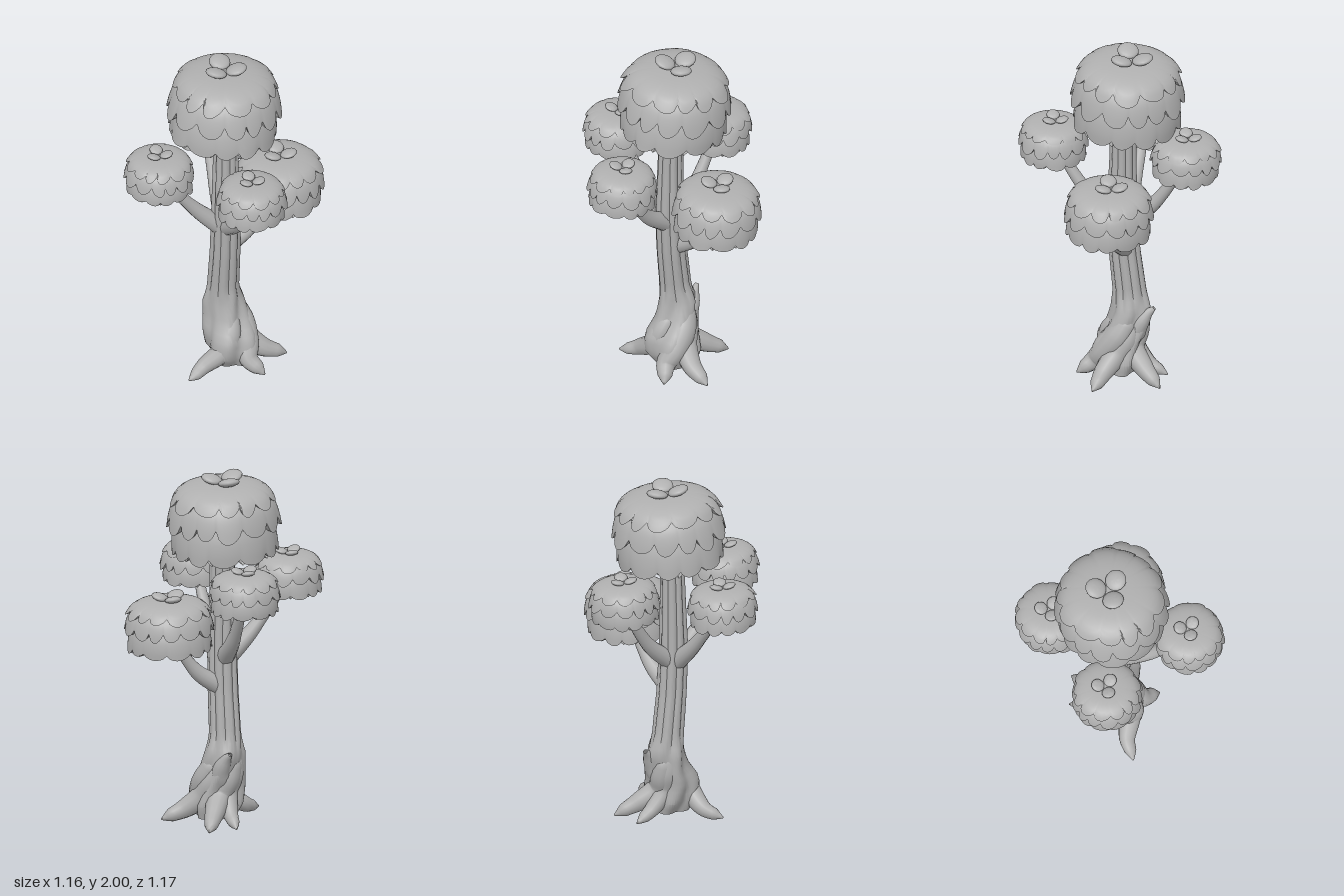
import * as THREE from 'three';
import { toCreasedNormals } from 'three/addons/utils/BufferGeometryUtils.js';
import { ParametricGeometry } from 'three/addons/geometries/ParametricGeometry.js';

const grey = new THREE.MeshStandardMaterial({ color: 0xb0b0b0, side: THREE.DoubleSide });
grey.name = 'stone grey';

let seed = 7;
const rand = () => (seed = (seed * 16807) % 2147483647) / 2147483647;

function part(name, geometry, crease = 0.7) {
  const mesh = new THREE.Mesh(toCreasedNormals(geometry, crease), grey);
  mesh.name = name;
  return mesh;
}

// surface from a rule fn(u, v) -> [x, y, z]
const surface = (fn, nu, nv) =>
  new ParametricGeometry((u, v, target) => target.set(...fn(u, v)), nu, nv);

// linear interpolation through rows whose first entry is the key
function sample(rows, key) {
  let i = 1;
  while (i < rows.length - 1 && rows[i][0] < key) i++;
  const a = rows[i - 1], b = rows[i];
  const k = THREE.MathUtils.clamp((key - a[0]) / (b[0] - a[0]), 0, 1);
  return a.map((n, j) => n + (b[j] - n) * k);
}

// tube along points whose radius follows the list of radii
function taperedTube(points, radii, segments = 28, sides = 12) {
  const curve = new THREE.CatmullRomCurve3(points.map(p => new THREE.Vector3(...p)));
  const geo = new THREE.TubeGeometry(curve, segments, 1, sides, false);
  const pos = geo.attributes.position;
  const rows = radii.map((r, i) => [i / (radii.length - 1), r]);
  const p = new THREE.Vector3();
  for (let i = 0; i < pos.count; i++) {
    const t = Math.floor(i / (sides + 1)) / segments;
    const c = curve.getPointAt(t);
    p.fromBufferAttribute(pos, i).sub(c).multiplyScalar(sample(rows, t)[1]).add(c);
    pos.setXYZ(i, p.x, Math.max(0, p.y), p.z);
  }
  return geo;
}

// one skirt of rounded leaves: profile of [radius, depth], scalloped hem with a turned-in lip
function leafSkirt(profile, lobes, notch, R, H) {
  const curve = new THREE.CatmullRomCurve3(profile.map(([r, t]) => new THREE.Vector3(r, t, 0)));
  const leaves = Array.from({ length: lobes }, () => ({ long: rand(), flare: rand(), skew: 0.8 + 0.6 * rand() }));
  const phase = rand() * Math.PI * 2;
  const stacks = 10;
  return surface((u, v) => {
    const { long, flare, skew } = leaves[Math.floor(u * lobes + 1e-6) % lobes];
    const s = (u * lobes + 1e-6) % 1;
    const bump = Math.pow(Math.abs(Math.sin(Math.PI * Math.pow(s, skew))), 0.6);
    const row = Math.round(v * stacks);
    const along = Math.min(1, row / (stacks - 1));
    const p = curve.getPoint(along * (1 - notch * (1 - bump * (0.65 + 0.35 * long))));
    let r = p.x + 0.05 * flare * bump * along ** 3, t = p.y;
    if (row === stacks) { r -= 0.1; t -= 0.02; }
    const a = u * Math.PI * 2 + 0.08 * Math.sin(u * Math.PI * 6) + phase;
    return [R * r * Math.cos(a), -H * t, R * r * Math.sin(a)];
  }, lobes * 8, stacks);
}

// domed canopy with its top at the origin; gather is the depth of the underside's middle
function canopy(name, [x, y, z], R, H, gather, tiltX, tiltZ) {
  const group = new THREE.Group();
  group.name = name;
  const skirts = [
    ['lowerLeaves', [[0.84, 0.5], [0.9, 0.64], [0.93, 0.82], [0.92, 1]], 12, 0.22],
    ['middleLeaves', [[0.76, 0.14], [0.9, 0.28], [0.97, 0.45], [1, 0.66]], 14, 0.34],
    ['upperLeaves', [[0, 0], [0.35, 0.012], [0.64, 0.05], [0.84, 0.14], [0.95, 0.31]], 13, 0.21],
  ];
  for (const [n, profile, lobes, notch] of skirts) {
    group.add(part(n, leafSkirt(profile, lobes, notch, R, H)));
  }
  // pleated underside gathered at the branch
  const pleats = 20;
  group.add(part('pleatedUnderside', surface((u, v) => {
    const a = u * Math.PI * 2, fold = Math.abs(((u * pleats) % 1) * 2 - 1);
    const r = R * 0.89 * v;
    return [r * Math.sin(a), -H * (gather + (0.93 - gather) * v + 0.1 * (fold - 0.5) * v), r * Math.cos(a)];
  }, pleats * 4, 5), 0.4));
  // three round caps on the crown, lifted at their outer rims
  for (let i = 0; i < 3; i++) {
    const cap = part('crownCap', new THREE.SphereGeometry(R * 0.19, 16, 10), 1);
    cap.scale.y = 0.4;
    cap.rotation.z = 0.28;
    cap.position.set(R * 0.22, R * 0.055, 0);
    const arm = new THREE.Group();
    arm.name = 'crownCapArm';
    arm.rotation.y = Math.PI / 2 + i * Math.PI * 2 / 3;
    arm.position.set(-0.02 * R, 0, -0.02 * R);
    arm.add(cap);
    group.add(arm);
  }
  group.position.set(x, y, z);
  group.rotation.set(tiltX, 0, tiltZ);
  return group;
}

export function createModel() {
  const tree = new THREE.Group();
  tree.name = 'tree';

  // fluted trunk on a twisted, swollen foot: y, centre x, centre z, radius, twist weight
  const trunkRows = [
    [0.03, 0.04, 0, 0.11, 1], [0.1, 0.03, 0.01, 0.14, 1], [0.2, 0.02, 0.01, 0.136, 1],
    [0.3, 0.018, -0.04, 0.115, 1], [0.4, 0.008, -0.06, 0.106, 0.8], [0.5, 0, -0.05, 0.087, 0.1],
    [0.75, 0, -0.02, 0.082, 0], [1, 0, -0.005, 0.08, 0], [1.3, 0, -0.01, 0.07, 0],
    [1.65, 0.005, -0.015, 0.064, 0],
  ];
  tree.add(part('trunk', surface((u, v) => {
    const y = 0.03 + 1.62 * v, [, cx, cz, r, w] = sample(trunkRows, y), a = u * Math.PI * 2;
    const flutes = 0.07 * (1 - w) * (Math.abs(Math.sin(4.5 * a)) * 2 - 1.2)
      + 0.04 * (1 - w) * Math.sin(2 * a + 1);
    const folds = 0.11 * w * Math.sin(4 * a - y * 11) + 0.04 * w * Math.sin(7 * a - y * 14);
    const rr = r * (1 + flutes + folds);
    return [cx + rr * Math.sin(a), y, cz + rr * Math.cos(a)];
  }, 72, 44), 0.6));

  // roots spiral down from the trunk and spread over the ground: tip x, tip z, start height, girth, arch
  const roots = [
    [-0.25, 0.11, 0.34, 0.055, 0.055], [0.14, 0.2, 0.38, 0.066, 0.08], [0.32, 0.06, 0.36, 0.062, 0.075],
    [0.18, -0.27, 0.4, 0.062, 0.085], [0.02, -0.26, 0.42, 0.052, 0.07],
  ];
  for (const [x, z, top, g, arch] of roots) {
    const a = Math.atan2(z, x), len = Math.hypot(x, z);
    const at = (da, r, y) => {
      const [, cx, cz] = sample(trunkRows, y);
      return [cx + r * Math.cos(a + da), y, cz + r * Math.sin(a + da)];
    };
    tree.add(part('root', taperedTube(
      [at(-1.35, 0.05, top), at(-0.9, 0.075, top * 0.68), at(-0.4, 0.09, top * 0.42),
        [x * 0.62, arch, z * 0.62], [x * 0.88, arch * 0.5, z * 0.88],
        [x + 0.015 * x / len, 0.015, z + 0.015 * z / len]],
      [g * 0.4, g * 0.9, g, g * 1.1, g * 1.1, g * 1.05, g, g * 0.9, g * 0.75, g * 0.6, 0.004]), 1));
  }
  // knot at the back of the twisted foot
  tree.add(part('knot', taperedTube(
    [[0.03, 0.2, -0.06], [0.05, 0.32, -0.12], [0.04, 0.39, -0.165], [0.03, 0.425, -0.2]],
    [0.06, 0.06, 0.042, 0.012], 12), 1));

  // branches
  const branches = [
    ['rightBranch', [-0.03, 0.93, -0.01], [-0.17, 1.07, -0.02], [-0.38, 1.34, -0.02]],
    ['leftBranch', [0.03, 0.78, -0.03], [0.16, 0.87, -0.03], [0.32, 1.1, -0.03]],
    ['frontBranch', [0, 0.94, 0.02], [0, 1.07, 0.19], [0, 1.34, 0.38]],
    ['backBranch', [0, 0.93, -0.03], [0.01, 1.07, -0.19], [0.02, 1.36, -0.38]],
  ];
  for (const [name, ...points] of branches) {
    tree.add(part(name, taperedTube(points, [0.055, 0.046, 0.035, 0.03, 0.026], 16)));
  }

  // canopies
  tree.add(
    canopy('mainCanopy', [0.015, 1.95, -0.05], 0.314, 0.41, 0.86, -0.045, -0.045),
    canopy('frontCanopy', [0.005, 1.495, 0.39], 0.193, 0.222, 0.98, -0.03, -0.03),
    canopy('backCanopy', [0.02, 1.515, -0.385], 0.196, 0.225, 0.98, -0.04, -0.03),
    canopy('rightCanopy', [-0.385, 1.495, -0.02], 0.194, 0.222, 0.98, -0.03, -0.03),
    canopy('leftCanopy', [0.332, 1.305, -0.035], 0.247, 0.29, 0.98, -0.03, -0.04),
  );
  return tree;
}
